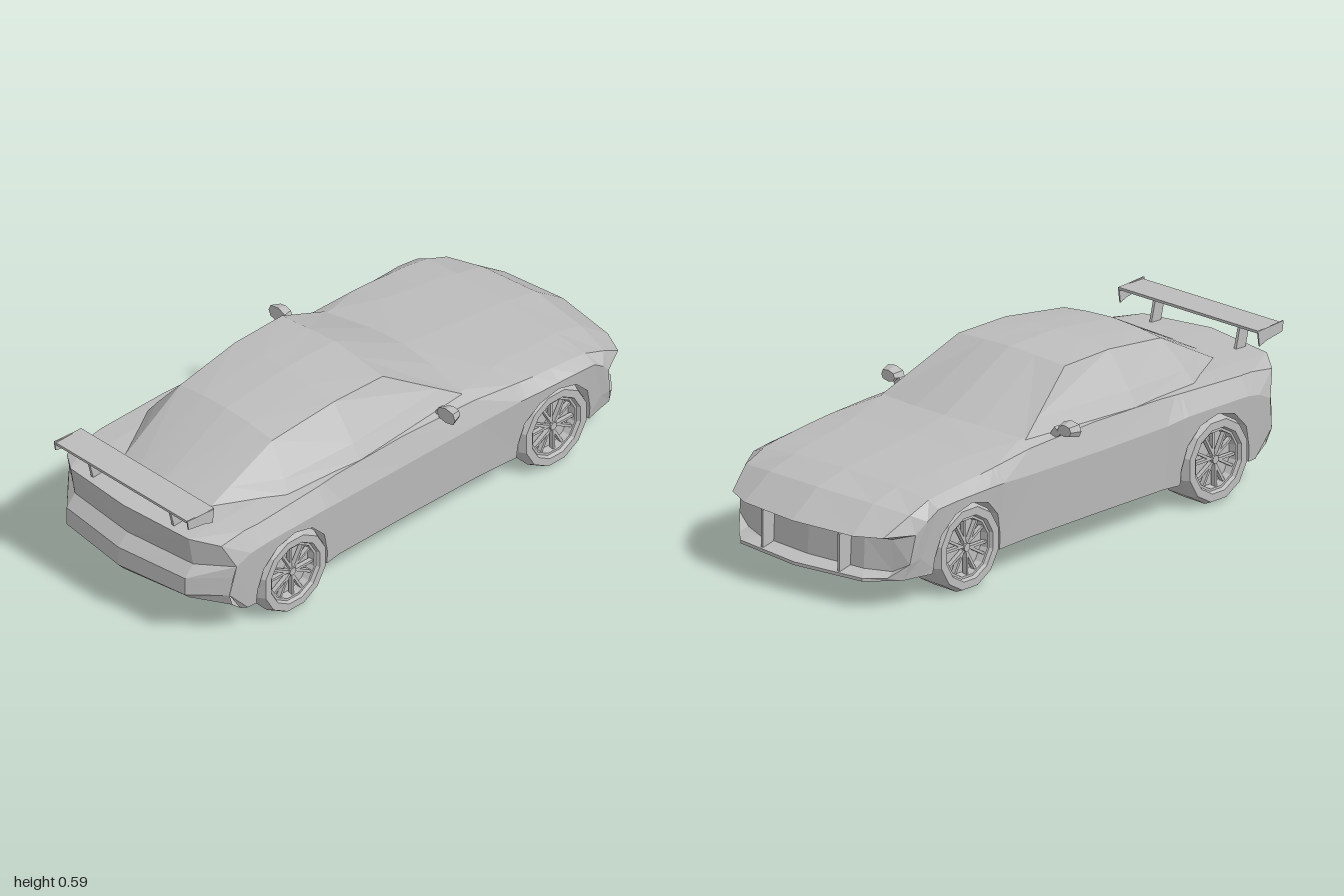
import * as THREE from 'three';

const paint = new THREE.MeshStandardMaterial({ color: 0xbcbcbc, flatShading: true, side: THREE.DoubleSide });
paint.name = 'light grey';

const FLOOR = 0.095, WHEEL_Z = 0.585, lerp = THREE.MathUtils.lerp;

// Mesh from grids of points on the +x half, mirrored to -x
function mirroredSkin(name, grids) {
  const pos = [];
  const quad = (a, b, c, d) => {
    pos.push(...a, ...b, ...c, ...a, ...c, ...d);
    const m = ([x, y, z]) => [-x, y, z];
    pos.push(...m(a), ...m(c), ...m(b), ...m(a), ...m(d), ...m(c));
  };
  for (const { rows, flip } of grids)
    for (let i = 0; i < rows.length - 1; i++)
      for (let j = 0; j < rows[i].length - 1; j++) {
        const q = [rows[i][j], rows[i][j + 1], rows[i + 1][j + 1], rows[i + 1][j]];
        quad(...(flip ? q.reverse() : q));
      }
  const g = new THREE.BufferGeometry();
  g.setAttribute('position', new THREE.Float32BufferAttribute(pos, 3));
  g.computeVertexNormals();
  return part(name, g);
}

function part(name, geometry, x = 0, y = 0, z = 0) {
  const m = new THREE.Mesh(geometry, paint);
  m.name = name;
  m.position.set(x, y, z);
  return m;
}

// Flat outline extruded along its own z, centred in thickness
function plate(points, depth) {
  const s = new THREE.Shape(points.map(([a, b]) => new THREE.Vector2(a, b)));
  return new THREE.ExtrudeGeometry(s, { depth, bevelEnabled: false }).translate(0, 0, -depth / 2);
}

// z, sill x, widest x, widest y, shoulder x, y, deck edge x, y, centre y
const KEYS = [
  [-0.80, 0.378, 0.408, 0.315, 0.365, 0.335, 0.22, 0.350, 0.357],
  [-0.68, 0.395, 0.416, 0.330, 0.370, 0.355, 0.24, 0.366, 0.373],
  [-0.50, 0.392, 0.411, 0.332, 0.372, 0.372, 0.25, 0.386, 0.393],
  [-0.40, 0.376, 0.396, 0.325, 0.368, 0.382, 0.27, 0.395, 0.403],
  [-0.26, 0.370, 0.385, 0.315, 0.358, 0.393, 0.31, 0.411, 0.428],
  [0.05, 0.368, 0.380, 0.310, 0.350, 0.402, 0.31, 0.410, 0.410],
  [0.36, 0.370, 0.385, 0.315, 0.355, 0.402, 0.30, 0.408, 0.405],
  [0.45, 0.384, 0.399, 0.330, 0.362, 0.400, 0.29, 0.405, 0.402],
  [0.72, 0.385, 0.402, 0.330, 0.368, 0.392, 0.28, 0.400, 0.403],
  [0.80, 0.377, 0.395, 0.315, 0.360, 0.388, 0.28, 0.398, 0.403],
];

// Half section at z, with its lower edge raised to y = low
function section(z, low) {
  let i = 0;
  while (i < KEYS.length - 2 && z > KEYS[i + 1][0]) i++;
  const t = (z - KEYS[i][0]) / (KEYS[i + 1][0] - KEYS[i][0]);
  const [, xs, xm, ym, xk, yk, xd, yd, yt] = KEYS[i].map((v, k) => lerp(v, KEYS[i + 1][k], t));
  const wall = (y) => [lerp(xs, xm, Math.min(1, (y - FLOOR) / (ym - FLOOR))), y, z];
  return [[0, FLOOR, z], [0.27, FLOOR, z], [0.27, low, z], wall(low), wall(low + 0.02),
    [xm, ym, z], [xk, yk, z], [xd, yd, z], [0, yt, z]];
}

function buildBody() {
  // Nose stations
  const nose = [[0, FLOOR, -0.99], [0.27, FLOOR, -0.955], [0.27, FLOOR, -0.955], [0.36, FLOOR, -0.86],
    [0.378, 0.15, -0.845], [0.39, 0.25, -0.83], [0.335, 0.25, -0.925], [0.24, 0.247, -0.97], [0, 0.25, -1]];
  const hoodFront = [[0, FLOOR, -0.87], [0.27, FLOOR, -0.87], [0.27, FLOOR, -0.87], [0.37, FLOOR, -0.81],
    [0.385, 0.16, -0.80], [0.405, 0.29, -0.79], [0.365, 0.312, -0.83], [0.23, 0.327, -0.86], [0, 0.335, -0.88]];
  // Tail station
  const tail = [[0, FLOOR, 0.83], [0.275, FLOOR, 0.82], [0.275, FLOOR, 0.82], [0.365, FLOOR, 0.80],
    [0.377, 0.18, 0.86], [0.39, 0.29, 0.84], [0.36, 0.375, 0.88], [0.275, 0.392, 0.945], [0, 0.403, 0.975]];

  // Stations following the wheel arches, plus plain ones between
  const stops = [[-0.26, FLOOR], [0.05, FLOOR], [0.36, FLOOR]];
  for (const c of [-WHEEL_Z, WHEEL_Z])
    for (const [d, y] of [[0.16, FLOOR], [0.158, 0.147], [0.137, 0.226], [0.079, 0.284], [0, 0.305]])
      for (const s of d ? [-1, 1] : [1]) stops.push([c + s * d, y]);
  stops.sort((a, b) => a[0] - b[0]);
  const stations = [nose, hoodFront, ...stops.map(([z, y]) => section(z, y)), section(0.78, FLOOR), tail];

  // Front fascia with the recessed mouth
  const front = [
    [nose[8], nose[7], nose[6], nose[5]],
    [[0, 0.228, -0.92], [0.23, 0.228, -0.90], [0.32, 0.228, -0.865], nose[5]],
    [[0, 0.118, -0.925], [0.23, 0.118, -0.905], [0.32, 0.118, -0.865], nose[4]],
    [[0, 0.106, -0.99], [0.27, 0.106, -0.955], [0.33, 0.106, -0.90], nose[4]],
    [nose[0], nose[1], [0.33, FLOOR, -0.892], nose[3]],
  ];
  // Rear panel and bumper
  const rear = [
    [tail[8], tail[7], tail[6]],
    [[0, 0.287, 0.955], [0.275, 0.285, 0.925], tail[5]],
    [[0, 0.245, 0.995], [0.275, 0.245, 0.962], [0.385, 0.25, 0.85]],
    [[0, 0.175, 0.995], [0.275, 0.18, 0.962], tail[4]],
    [[0, 0.148, 0.97], [0.275, 0.16, 0.94], [0.37, 0.13, 0.84]],
    [tail[0], tail[1], tail[3]],
  ];
  return mirroredSkin('body', [{ rows: stations }, { rows: front }, { rows: rear, flip: true }]);
}

function buildCabin() {
  const A = [0.235, 0.570, 0.035], B = [0.23, 0.572, 0.25], C = [0.215, 0.540, 0.51];
  const a = [0.32, 0.408, -0.24], b = [0.352, 0.402, 0.25], c = [0.325, 0.400, 0.55];
  const d = [0.20, 0.398, 0.775];
  const top = [
    [[0, 0.426, -0.28], [0.14, 0.421, -0.27], a],
    [[0, 0.585, 0.025], [0.11, 0.579, 0.03], A],
    [[0, 0.587, 0.25], [0.11, 0.582, 0.25], B],
    [[0, 0.558, 0.51], [0.11, 0.552, 0.51], C],
    [[0, 0.400, 0.815], [0.11, 0.400, 0.80], d],
  ];
  // Side windows and rear pillars, with a crease near the belt
  const side = [[a, A], [b, B], [c, C], [d, C]];
  const bent = side.map(([p, q]) => [p, p.map((v, k) => lerp(v, q[k], 0.3) + (k === 0 ? 0.004 : 0)), q]);
  bent[0][1] = a.map((v, k) => lerp(v, A[k], 0.3));
  bent[3][1] = d.map((v, k) => lerp(v, C[k], 0.3));
  return mirroredSkin('cabin', [{ rows: top, flip: true }, { rows: bent }]);
}

function buildWheel() {
  const wheel = new THREE.Group();
  // Tyre and dished rim, measured from the inner face
  const profile = [[0.001, 0], [0.148, 0], [0.15, 0.1], [0.139, 0.125], [0.112, 0.125], [0.106, 0.113],
    [0.098, 0.113], [0.094, 0.085], [0.001, 0.085]].map(([r, h]) => new THREE.Vector2(r, h));
  wheel.add(part('tyre', new THREE.LatheGeometry(profile, 12, Math.PI / 12)));
  wheel.add(part('hub', new THREE.CylinderGeometry(0.014, 0.018, 0.03, 10), 0, 0.098, 0));
  // Paired spokes
  for (let i = 0; i < 12; i++) {
    const spoke = new THREE.BoxGeometry(0.088, 0.016, 0.009).translate(0.055, 0, i % 2 ? 0.005 : -0.005);
    const m = part('spoke', spoke, 0, 0.1, 0);
    m.rotation.y = (i / 12) * Math.PI * 2;
    wheel.add(m);
  }
  return wheel;
}

export function createModel() {
  const car = new THREE.Group();
  car.name = 'car';
  car.add(buildBody(), buildCabin());

  // Rear wing
  car.add(part('wingBlade', new THREE.BoxGeometry(0.62, 0.009, 0.115), 0, 0.49, 0.922));

  for (const s of [1, -1]) {
    const side = s > 0 ? 'left' : 'right';
    for (const z of [-WHEEL_Z, WHEEL_Z]) {
      const w = buildWheel();
      w.name = side + (z < 0 ? 'NoseWheel' : 'TailWheel');
      w.rotation.z = -s * Math.PI / 2;
      w.position.set(s * 0.275, 0.145, z);
      car.add(w);
    }

    // Outlines drawn as (-z, y) and turned to face sideways
    const end = plate([[-0.985, 0.5], [-0.865, 0.492], [-0.872, 0.44], [-0.905, 0.452], [-0.98, 0.465]], 0.005);
    car.add(part('wingEndPlate', end.rotateY(Math.PI / 2), s * 0.309));
    const strut = plate([[-0.955, 0.488], [-0.91, 0.488], [-0.885, 0.39], [-0.93, 0.39]], 0.01);
    car.add(part('wingStrut', strut.rotateY(Math.PI / 2), s * 0.188));

    // Mouth divider
    car.add(part('mouthFin', new THREE.BoxGeometry(0.01, 0.135, 0.06), s * 0.17, 0.168, -0.93));

    // Door mirror and its stalk
    const shell = plate([[0.35, 0.425], [0.358, 0.445], [0.39, 0.456], [0.425, 0.45], [0.434, 0.428],
      [0.425, 0.408], [0.39, 0.4], [0.36, 0.406]].map(([x, y]) => [s * x, y]), 0.036);
    const p = shell.attributes.position;
    for (let i = 0; i < p.count; i++) if (p.getZ(i) < 0) {
      p.setX(i, lerp(p.getX(i), s * 0.39, 0.3));
      p.setY(i, lerp(p.getY(i), 0.428, 0.3));
    }
    car.add(part('mirror', shell, 0, 0, -0.115));
    const stalk = plate([[0.325, 0.402], [0.345, 0.432], [0.36, 0.42], [0.37, 0.408], [0.345, 0.392]]
      .map(([x, y]) => [s * x, y]), 0.02);
    car.add(part('mirrorStalk', stalk, 0, 0, -0.12));
  }
  return car;
}
